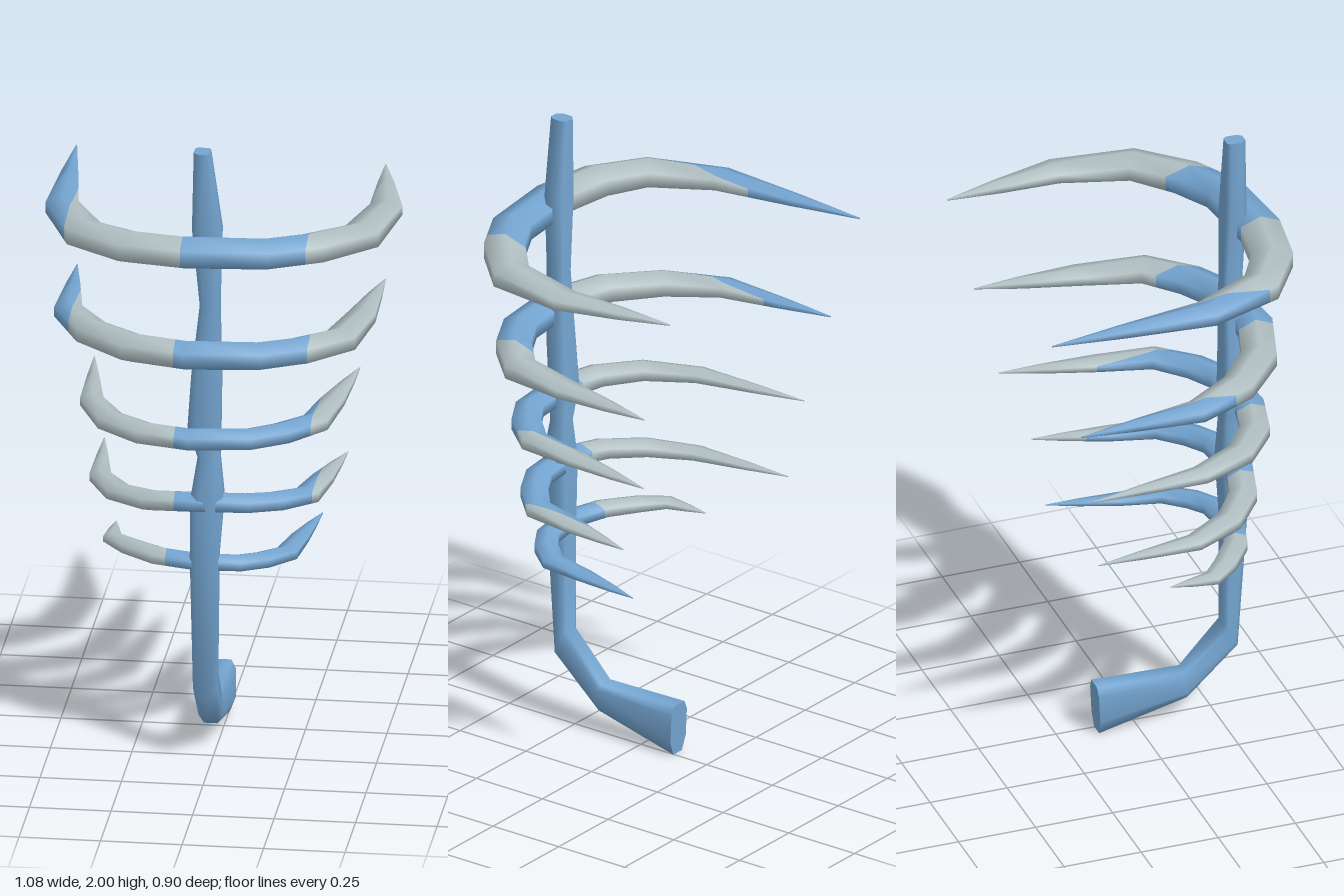
import * as THREE from 'three';

const V = (x, y, z) => new THREE.Vector3(x, y, z);

const blue = new THREE.MeshStandardMaterial({ color: 0x74a5d1 });
blue.name = 'boneBlue';
const grey = new THREE.MeshStandardMaterial({ color: 0xb0bfc2 });
grey.name = 'boneGrey';

// Cross-sections as fractions of the two half-axes
const HEXAGON = [0, 1, 2, 3, 4, 5].map(k => [Math.cos(k * Math.PI / 3), Math.sin(k * Math.PI / 3) / 0.866]);
const CHAMFERED = [[1, -0.65], [1, 0.45], [0.55, 1], [-0.55, 1], [-1, 0.45], [-1, -0.65], [-0.65, -1], [0.65, -1]];

// Ring around c; u and v are half-axes with u x v along the path
function ring(section, c, u, v) {
  return section.map(([a, b]) => c.clone().addScaledVector(u, a).addScaledVector(v, b));
}

// Smooth skin over the rings, with flat end caps
function loft(rings) {
  const pos = [], index = [], sides = rings[0].length;
  rings.forEach(r => r.forEach(p => pos.push(p.x, p.y, p.z)));
  for (let i = 0; i < rings.length - 1; i++) {
    for (let k = 0; k < sides; k++) {
      const n = (k + 1) % sides;
      const a = i * sides + k, b = i * sides + n, c = b + sides, d = a + sides;
      index.push(a, b, c, a, c, d);
    }
  }
  [rings[0], rings[rings.length - 1]].forEach((r, end) => {
    const base = pos.length / 3;
    r.forEach(p => pos.push(p.x, p.y, p.z));
    for (let k = 1; k < sides - 1; k++) {
      if (end) index.push(base, base + k, base + k + 1);
      else index.push(base, base + k + 1, base + k);
    }
  });
  const g = new THREE.BufferGeometry();
  g.setAttribute('position', new THREE.Float32BufferAttribute(pos, 3));
  g.setIndex(index);
  g.computeVertexNormals();
  return g;
}

// Keep the part of a polygon where sign * (x - limit) >= 0
function clip(poly, limit, sign) {
  const out = [];
  poly.forEach((a, i) => {
    const b = poly[(i + 1) % poly.length];
    const da = sign * (a.p.x - limit), db = sign * (b.p.x - limit);
    if (da >= 0) out.push(a);
    if ((da >= 0) !== (db >= 0)) {
      const t = da / (da - db);
      out.push({ p: a.p.clone().lerp(b.p, t), n: a.n.clone().lerp(b.n, t).normalize() });
    }
  });
  return out;
}

// The slice of a geometry between two x values
function slice(g, min, max) {
  const pos = [], nor = [];
  const P = g.attributes.position, N = g.attributes.normal, I = g.index.array;
  const vert = i => ({ p: V().fromBufferAttribute(P, i), n: V().fromBufferAttribute(N, i) });
  for (let i = 0; i < I.length; i += 3) {
    const poly = clip(clip([vert(I[i]), vert(I[i + 1]), vert(I[i + 2])], min, 1), max, -1);
    for (let k = 1; k < poly.length - 1; k++) {
      [poly[0], poly[k], poly[k + 1]].forEach(q => {
        pos.push(q.p.x, q.p.y, q.p.z);
        nor.push(q.n.x, q.n.y, q.n.z);
      });
    }
  }
  const s = new THREE.BufferGeometry();
  s.setAttribute('position', new THREE.Float32BufferAttribute(pos, 3));
  s.setAttribute('normal', new THREE.Float32BufferAttribute(nor, 3));
  return s;
}

// Spine rings: front z, front y, back z, back y, min x, max x
const SPINE = [
  [0.35, 2.0, 0.29, 2.0, -0.05, 0.0],
  [0.355, 1.75, 0.285, 1.75, -0.055, 0.035],
  [0.347, 1.5, 0.283, 1.5, -0.032, 0.028],
  [0.35, 1.27, 0.28, 1.27, -0.058, 0.033],
  [0.345, 1.1, 0.275, 1.1, -0.07, 0.03],
  [0.335, 1.0, 0.28, 1.0, -0.04, 0.028],
  [0.36, 0.87, 0.272, 0.87, -0.06, 0.04],
  [0.355, 0.68, 0.28, 0.68, -0.062, 0.025],
  [0.325, 0.22, 0.28, 0.3, -0.055, 0.02],
  [0.16, 0.07, 0.15, 0.16, -0.058, 0.018],
  [-0.125, 0.0, -0.133, 0.165, -0.058, 0.02],
];

function makeSpine() {
  const rings = SPINE.map(([fz, fy, bz, by, x0, x1]) => ring(CHAMFERED,
    V((x0 + x1) / 2, (fy + by) / 2, (fz + bz) / 2),
    V((x1 - x0) / 2, 0, 0),
    V(0, (fy - by) / 2, (fz - bz) / 2)));
  const mesh = new THREE.Mesh(loft(rings), blue);
  mesh.name = 'spine';
  return mesh;
}

// Rib path from right to left: x and depth fractions, thickness fractions, share of the tuck
const ARC = [
  [-0.99, 0.37, 0.8, 0.66, 0.8], [-0.80, 0.13, 0.95, 0.9, 1], [-0.51, 0.03, 1, 1, 0.4], [-0.15, 0, 1, 1, 0],
  [0.35, 0.03, 1, 0.97, 0], [0.63, 0.115, 1, 0.94, 0], [0.90, 0.26, 0.95, 0.86, 0], [0.99, 0.53, 0.8, 0.55, 0],
];

// y: middle height, z: middle depth, bulge: x of both sides, tips: [x, y, z], w/h: half sizes,
// split: x where the right side meets the middle band, tuck: how far the right side is set back
const RIBS = [
  { y: 1.692, z: 0.385, bulge: [0.494, 0.493], tips: [[-0.51, 1.695, -0.45], [0.44, 1.683, -0.44]], w: 0.063, h: 0.052, split: -0.078, tuck: 0 },
  { y: 1.352, z: 0.37, bulge: [0.478, 0.423], tips: [[-0.495, 1.345, -0.35], [0.45, 1.345, -0.35]], w: 0.054, h: 0.047, split: -0.103, tuck: 0.07 },
  { y: 1.07, z: 0.355, bulge: [0.4, 0.337], tips: [[-0.435, 1.07, -0.295], [0.38, 1.075, -0.295]], w: 0.045, h: 0.036, split: -0.105, tuck: 0.035 },
  { y: 0.86, z: 0.322, bulge: [0.375, 0.31], tips: [[-0.4, 0.82, -0.26], [0.355, 0.835, -0.2]], w: 0.042, h: 0.033, split: -0.11, tuck: 0.04 },
  { y: 0.653, z: 0.305, bulge: [0.328, 0.24], tips: [[-0.33, 0.652, 0.0], [0.28, 0.64, -0.18]], w: 0.036, h: 0.028, split: -0.14, tuck: 0.06 },
];

function makeRib({ y, z, bulge, tips, w, h, split, tuck }, name) {
  const stations = ARC.map(([fx, fz, fw, fh, ft]) => {
    const side = fx < 0 ? 0 : 1;
    const depth = (z - tips[side][2]) * fz * 1.05 + tuck * ft;
    return { p: V(fx * bulge[side], y + (tips[side][1] - y) * Math.abs(fx), z - depth), fw, fh };
  });
  // Tapered end pieces and points
  const [first, last] = [stations[0], stations[stations.length - 1]];
  const [start, end] = tips.map(t => V(...t));
  stations.unshift({ p: start, fw: 0.03, fh: 0.05 }, { p: start.clone().lerp(first.p, 0.45), fw: 0.4, fh: 0.38 });
  stations.push({ p: end.clone().lerp(last.p, 0.45), fw: 0.4, fh: 0.38 }, { p: end, fw: 0.03, fh: 0.05 });

  const rings = stations.map(({ p, fw, fh }, i) => {
    const next = stations[Math.min(i + 1, stations.length - 1)].p;
    const prev = stations[Math.max(i - 1, 0)].p;
    const t = next.clone().sub(prev).setY(0).normalize();
    return ring(HEXAGON, p, V(0, h * fh, 0), t.cross(V(0, 1, 0)).multiplyScalar(w * fw));
  });
  const whole = loft(rings);
  // Alternating colour bands across the rib
  const group = new THREE.Group();
  group.name = name;
  [[-2, -0.455, blue, 'RightTip'], [-0.455, split, grey, 'RightSide'],
    [split, 0.297, blue, 'Middle'], [0.297, 2, grey, 'LeftTip']].forEach(([a, b, mat, part]) => {
    const g = slice(whole, a, b);
    if (g.attributes.position.count === 0) return;
    const mesh = new THREE.Mesh(g, mat);
    mesh.name = name + part;
    group.add(mesh);
  });
  return group;
}

export function createModel() {
  const model = new THREE.Group();
  model.name = 'ribCage';
  model.add(makeSpine());
  RIBS.forEach((r, i) => model.add(makeRib(r, 'rib' + (i + 1))));
  return model;
}
